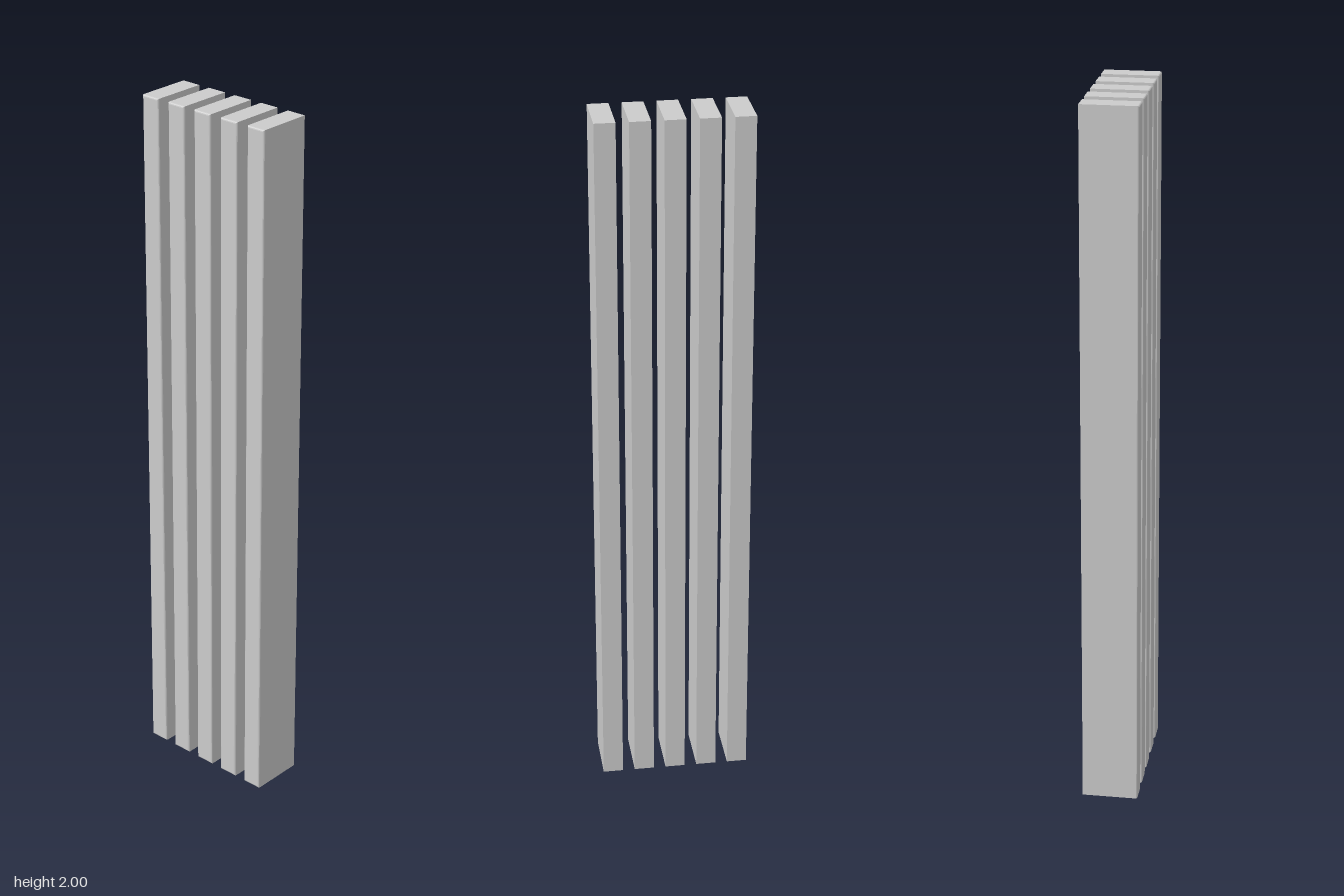
import * as THREE from 'three';

const WIDTH = 0.057, HEIGHT = 2, DEPTH = 0.158, ROUND = 0.005, STEPS = 3;

// Upright board whose front face has a small rounded edge all the way round
function slatGeometry() {
  const geometry = new THREE.BoxGeometry(WIDTH, HEIGHT, DEPTH, 1, 1, STEPS + 1);
  const p = geometry.attributes.position;
  for (let i = 0; i < p.count; i++) {
    const ring = Math.round((p.getZ(i) / DEPTH + 0.5) * (STEPS + 1));
    if (ring === 0) continue; // square back edge
    const angle = ((ring - 1) / STEPS) * Math.PI / 2;
    const inset = ROUND * (1 - Math.cos(angle));
    p.setX(i, p.getX(i) - Math.sign(p.getX(i)) * inset);
    p.setY(i, p.getY(i) - Math.sign(p.getY(i)) * inset);
    p.setZ(i, DEPTH / 2 - ROUND * (1 - Math.sin(angle)));
  }
  const faceted = geometry.toNonIndexed();
  faceted.computeVertexNormals();
  return faceted;
}

export function createModel() {
  const model = new THREE.Group();
  model.name = 'slattedPanel';
  const material = new THREE.MeshStandardMaterial({ color: 0xcccccc, flatShading: true });
  const geometry = slatGeometry();

  // Five evenly spaced slats
  for (let i = -2; i <= 2; i++) {
    const slat = new THREE.Mesh(geometry, material);
    slat.name = `slat${i + 3}`;
    slat.position.set(i * 0.0915, HEIGHT / 2, 0);
    model.add(slat);
  }
  return model;
}
